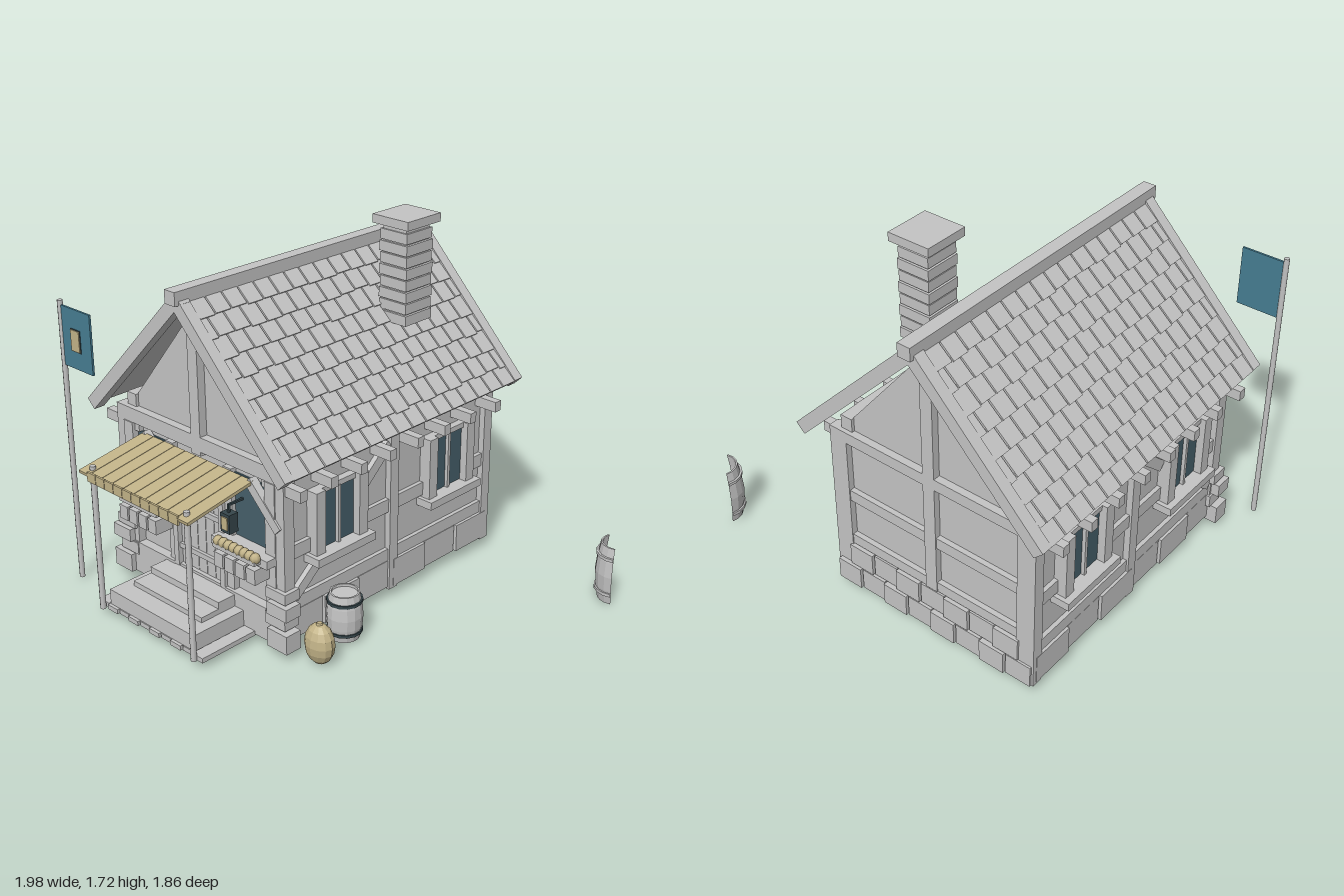
import * as THREE from 'three';

const mat = (name, color) => Object.assign(new THREE.MeshStandardMaterial({ color }), { name });

export function createModel() {
  const grey = mat('pale grey', 0xc4c4c4);
  const gold = mat('straw', 0xc2b388);
  const teal = mat('teal cloth', 0x467d92);
  const glass = mat('dark glass', 0x46606b);
  const iron = mat('dark iron', 0x36464b);

  const model = new THREE.Group();
  const group = (name, parent = model) => {
    const g = new THREE.Group();
    g.name = name;
    parent.add(g);
    return g;
  };
  const add = (parent, name, geo, m, x = 0, y = 0, z = 0) => {
    const mesh = new THREE.Mesh(geo, m);
    mesh.name = name;
    mesh.position.set(x, y, z);
    parent.add(mesh);
    return mesh;
  };
  // box given by its limits on each axis (in any order)
  const box = (parent, name, m, x0, x1, y0, y1, z0, z1) =>
    add(parent, name, new THREE.BoxGeometry(Math.abs(x1 - x0), Math.abs(y1 - y0), Math.abs(z1 - z0)), m,
      (x0 + x1) / 2, (y0 + y1) / 2, (z0 + z1) / 2);
  // square timber from p to q
  const beam = (parent, name, p, q, w, d) => {
    const a = new THREE.Vector3(...p), b = new THREE.Vector3(...q);
    const mesh = new THREE.Mesh(new THREE.BoxGeometry(d, w, a.distanceTo(b)), grey);
    mesh.position.copy(a).lerp(b, 0.5);
    mesh.lookAt(b);
    mesh.name = name;
    parent.add(mesh);
  };
  let seed = 7;
  const rnd = () => (seed = (seed * 16807) % 2147483647) / 2147483647;

  // house body
  const house = group('house');
  house.position.x = -0.33;
  box(house, 'walls', grey, -0.51, 0.51, 0.2, 0.88, -0.79, 0.53);
  const tri = new THREE.Shape([[-0.49, 0.88], [0.49, 0.88], [0, 1.48]].map(p => new THREE.Vector2(...p)));
  add(house, 'gable', new THREE.ExtrudeGeometry(tri, { depth: 1.31, bevelEnabled: false }), grey, 0, 0, -0.785);

  // long side walls
  for (const s of [1, -1]) {
    const side = group(s > 0 ? 'leftWall' : 'rightWall', house);
    const b = (name, m, x0, x1, ...r) => box(side, name, m, s * x0, s * x1, ...r);
    b('wallPost', grey, 0.48, 0.54, 0.2, 0.88, 0.505, 0.565);
    b('wallPost', grey, 0.48, 0.54, 0.06, 0.88, -0.155, -0.1);
    b('backPost', grey, 0.45, 0.54, 0.06, 0.88, -0.82, -0.765);
    for (const [y0, y1] of [[0.21, 0.27], [0.46, 0.525], [0.83, 0.885]])
      b('wallRail', grey, 0.49, 0.53, y0, y1, -0.79, 0.53);
    b('topPlate', grey, 0.43, 0.49, 0.86, 0.95, -0.8, 0.54);
    for (let i = 0; i < 6; i++)
      b('baseStone', grey, 0.45, 0.53 + 0.012 * (i % 2), 0.07, 0.208, 0.55 - i * 0.226, 0.33 - i * 0.226);
    for (let i = 0; i < 8; i++)
      b('joistEnd', grey, 0.4, 0.63, 0.78, 0.83, 0.555 - i * 0.183, 0.515 - i * 0.183);
    for (const z of [0.24, -0.495]) {
      b('windowGlass', glass, 0.525, 0.533, 0.45, 0.725, z - 0.105, z + 0.105);
      b('windowBar', grey, 0.53, 0.55, 0.45, 0.725, z - 0.008, z + 0.008);
      b('windowHead', grey, 0.5, 0.545, 0.72, 0.745, z - 0.105, z + 0.105);
      b('windowSill', grey, 0.5, 0.6, 0.41, 0.448, z - 0.18, z + 0.18);
      for (const e of [1, -1])
        b('windowJamb', grey, 0.5, 0.57, 0.448, 0.745, z + e * 0.105, z + e * 0.16);
    }
    beam(side, 'wallBrace', [s * 0.515, 0.8, -0.1], [s * 0.515, 0.65, 0.07], 0.05, 0.04);
    beam(side, 'wallBrace', [s * 0.515, 0.4, 0.34], [s * 0.515, 0.27, 0.5], 0.05, 0.04);

    // stacked stones on the front corners
    [[0.05, 0.14, 0.58, 0.6], [0.145, 0.205, 0.55, 0.58], [0.21, 0.272, 0.58, 0.6], [0.28, 0.33, 0.56, 0.585]]
      .forEach(([y0, y1, x, z]) => b('cornerStone', grey, x - 0.12, x, y0, y1, z - 0.085, z));

    // front window bay
    b('frontGlass', glass, 0.21, 0.43, 0.48, 0.78, 0.53, 0.538);
    b('bayPost', grey, 0.43, 0.49, 0.2, 0.82, 0.5, 0.57);
    b('frontSill', grey, 0.14, 0.49, 0.44, 0.48, 0.5, 0.62);
    for (let i = 0; i < 4; i++)
      b('sillBracket', grey, 0.195 + i * 0.067, 0.25 + i * 0.067, 0.365, 0.435, 0.53, 0.655);
    b('flowerBox', grey, 0.19, 0.45, 0.455, 0.475, 0.6, 0.655);
    for (let i = 0; i < 8; i++)
      add(side, 'flower', new THREE.SphereGeometry(0.025, 7, 5), gold, s * (0.207 + i * 0.033), 0.485, 0.637);
    beam(side, 'frontBrace', [s * 0.33, 0.79, 0.555], [s * 0.51, 0.61, 0.555], 0.045, 0.04);
    b('doorPost', grey, 0.165, 0.215, 0.2, 0.8, 0.5, 0.56);
    b('frontBase', grey, 0.17, 0.5, 0.05, 0.21, 0.49, 0.575);
  }

  // front and back framing
  box(house, 'frontBeam', grey, -0.54, 0.54, 0.82, 0.89, 0.5, 0.565);
  box(house, 'frontBaseCentre', grey, -0.17, 0.17, 0.05, 0.21, 0.49, 0.57);
  box(house, 'backBeam', grey, -0.54, 0.54, 0.83, 0.885, -0.82, -0.77);
  for (const [y0, y1] of [[0.28, 0.33], [0.52, 0.575]])
    box(house, 'backRail', grey, -0.5, 0.5, y0, y1, -0.815, -0.77);
  box(house, 'frontGablePost', grey, -0.03, 0.03, 0.8, 1.5, 0.5, 0.565);
  box(house, 'backGablePost', grey, -0.03, 0.03, 0.28, 1.5, -0.82, -0.77);
  for (let i = 0; i < 8; i++) {
    const x = -0.53 + i * 0.1325;
    box(house, 'backStone', grey, x, x + 0.127, 0.06, 0.165, -0.83 - 0.01 * (i % 2), -0.73);
    if (i < 7) box(house, 'backStone', grey, x + 0.066, x + 0.193, 0.17, 0.275, -0.83 + 0.01 * (i % 2), -0.77);
  }

  // door
  const door = group('door', house);
  for (let i = 0; i < 5; i++)
    box(door, 'doorPlank', grey, -0.14 + i * 0.056, -0.087 + i * 0.056, 0.2, 0.63, 0.53, 0.55);
  for (const s of [1, -1]) box(door, 'doorJamb', grey, s * 0.14, s * 0.17, 0.2, 0.66, 0.52, 0.575);
  box(door, 'doorLintel', grey, -0.17, 0.17, 0.63, 0.665, 0.52, 0.575);
  for (const y of [0.29, 0.51]) box(door, 'doorStrap', grey, -0.14, 0.14, y, y + 0.025, 0.54, 0.565);

  // roof halves, the second turned half a circle
  const roof = group('roof', house);
  roof.position.set(0, 1.56, -0.13);
  for (const turn of [0, Math.PI]) {
    const half = group('roofHalf', roof);
    half.rotation.set(0, turn, -0.797, 'YXZ');
    box(half, 'roofDeck', grey, 0.02, 0.885, -0.045, -0.023, -0.73, 0.73);
    for (const s of [1, -1]) box(half, 'bargeBoard', grey, 0, 0.915, -0.06, 0, s * 0.725, s * 0.78);
    for (let r = 0; r < 9; r++) {
      const w = 1.455 / 16, off = r % 2 ? w / 2 : 0;
      for (let i = 0; i < (r % 2 ? 17 : 16); i++) {
        const z0 = Math.max(-0.727, -0.727 + i * w - off), z1 = Math.min(0.727, -0.727 + (i + 1) * w - off);
        const x = 0.025 + r * 0.098, end = Math.min(x + 0.112 + rnd() * 0.012, 0.917);
        const tile = box(half, 'shingle', grey, x, end, -0.02, -0.006, z0 + 0.004, z1 - 0.004);
        tile.rotation.z = 0.07;
      }
    }
  }
  box(house, 'ridgeBeam', grey, -0.032, 0.032, 1.51, 1.572, -0.93, 0.67);

  // chimney
  const chimney = group('chimney');
  chimney.position.set(-0.025, 0, -0.445);
  box(chimney, 'chimneyCore', grey, -0.068, 0.068, 1.245, 1.7, -0.077, 0.077);
  for (let i = 0; i < 8; i++) {
    const k = i % 2 ? 0.003 : 0, y = 1.24 + i * 0.054;
    box(chimney, 'chimneyCourse', grey, -0.081 + k, 0.081 - k, y, y + 0.047, -0.088 + k, 0.088 - k);
  }
  box(chimney, 'chimneyCap', grey, -0.104, 0.104, 1.69, 1.73, -0.11, 0.11);

  // porch with steps and canopy
  const porch = group('porch');
  porch.position.x = -0.33;
  for (let i = 0; i < 10; i++) {
    const x = -0.36 + i * 0.072;
    box(porch, 'floorPlank', grey, x, x + 0.067, 0.042, 0.065, 0.56, 0.87 + 0.01 * (i % 2));
    const plank = box(porch, 'canopyPlank', gold, x + 0.001, x + 0.07, 0.75, 0.765, 0.56, 0.93);
    plank.rotation.x = 0.165;
    const v = -0.3 + i * 0.06;
    box(porch, 'valancePiece', gold, v, v + 0.057, 0.7, 0.745, 0.92, 0.93);
  }
  box(porch, 'lowerStep', grey, -0.285, 0.285, 0.065, 0.14, 0.56, 0.865);
  box(porch, 'middleStep', grey, -0.23, 0.23, 0.14, 0.165, 0.56, 0.77);
  box(porch, 'upperStep', grey, -0.23, 0.23, 0.165, 0.197, 0.56, 0.67);
  for (const x of [-0.31, 0.31])
    add(porch, 'porchPost', new THREE.CylinderGeometry(0.014, 0.014, 0.715, 8), grey, x, 0.4, 0.89);

  // lantern by the right-hand window
  const lantern = group('lantern');
  lantern.position.set(-0.067, 0.59, 0.62);
  box(lantern, 'lanternFrame', iron, -0.028, 0.028, -0.045, 0.045, -0.025, 0.025);
  box(lantern, 'lanternLight', gold, -0.018, 0.018, -0.03, 0.03, 0.024, 0.03);
  box(lantern, 'lanternHook', iron, -0.005, 0.005, 0.045, 0.085, -0.005, 0.005);
  box(lantern, 'lanternArm', iron, -0.005, 0.005, 0.075, 0.085, -0.09, 0.005);

  // flag
  const flag = group('flag');
  flag.position.set(-0.98, 0, 0.752);
  add(flag, 'flagPole', new THREE.CylinderGeometry(0.013, 0.013, 1.385, 8), grey, 0, 0.708, 0);
  box(flag, 'flagCloth', teal, 0.01, 0.21, 1.1, 1.38, -0.005, 0.005);
  box(flag, 'flagBadgeBorder', iron, 0.072, 0.138, 1.183, 1.289, 0.004, 0.008);
  box(flag, 'flagBadge', gold, 0.076, 0.134, 1.187, 1.285, 0.006, 0.012);

  // barrels and sack
  const lathe = (pts, n, ...arc) => {
    const g = new THREE.LatheGeometry(pts.map(p => new THREE.Vector2(...p)), n, ...arc).toNonIndexed();
    g.computeVertexNormals();
    return g;
  };
  const barrel = group('barrel');
  barrel.position.set(0.283, 0.02, 0.275);
  add(barrel, 'barrelBody', lathe([[0, 0], [0.068, 0], [0.079, 0.06], [0.083, 0.112], [0.079, 0.165],
    [0.068, 0.225], [0.06, 0.225], [0.06, 0.212], [0, 0.212]], 14), grey);
  for (const y of [0.038, 0.185])
    add(barrel, 'barrelHoop', new THREE.CylinderGeometry(0.082, 0.082, 0.014, 14), iron, 0, y, 0);

  const shell = [[0.082, 0], [0.094, 0.07], [0.1, 0.142], [0.094, 0.215], [0.082, 0.285]];
  const inner = shell.map(([r, y]) => [r - 0.008, y]).reverse();
  const broken = group('brokenBarrel');
  broken.position.set(0.955, 0.015, -0.835);
  add(broken, 'brokenStaves', lathe([...shell, ...inner, shell[0]], 6, -1.92, 2.27), grey);
  for (const y of [0.045, 0.225])
    add(broken, 'brokenHoop', lathe([[0.088, y], [0.1, y], [0.1, y + 0.015], [0.088, y + 0.015]], 6, -1.92, 2.27), grey);

  add(model, 'bucket', lathe([[0, 0], [0.075, 0], [0.09, 0.13], [0.08, 0.13], [0.068, 0.012], [0, 0.012]], 12),
    grey, -0.14, 0.015, -0.665);
  const sackGeo = new THREE.SphereGeometry(1, 12, 8).toNonIndexed();
  sackGeo.scale(0.075, 0.098, 0.06);
  sackGeo.computeVertexNormals();
  add(model, 'sack', sackGeo, gold, 0.345, 0.107, 0.495);
  add(model, 'sackKnot', new THREE.CylinderGeometry(0.012, 0.016, 0.01, 8), gold, 0.345, 0.204, 0.495);

  return model;
}
